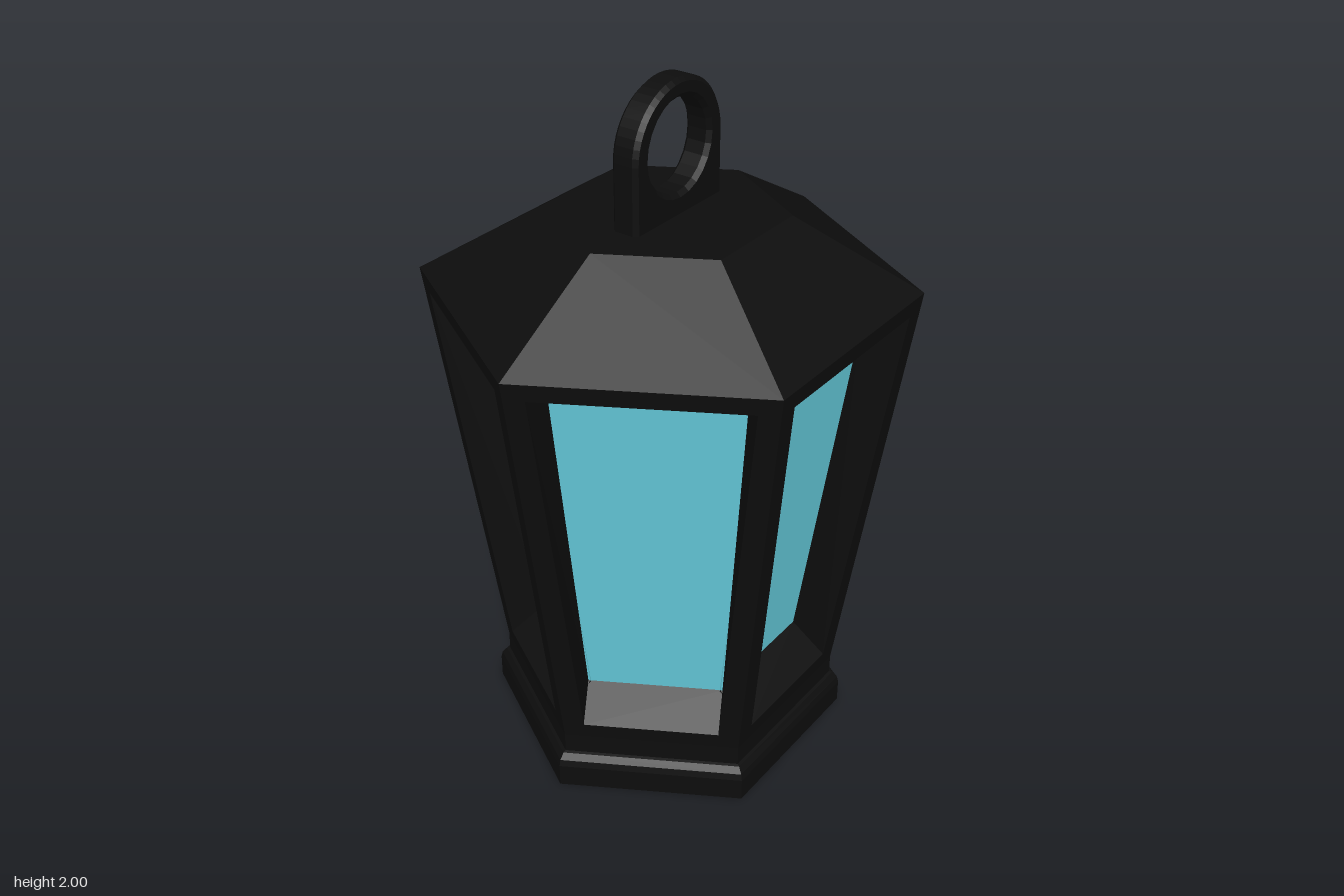
import * as THREE from 'three';

const black = new THREE.MeshStandardMaterial({ color: 0x0d0d0d, flatShading: true });
const glass = new THREE.MeshStandardMaterial({ color: 0x66ccdd, flatShading: true });

const SIDES = 6;
const APOTHEM = Math.cos(Math.PI / SIDES);
const LOW = 0.17, EAVE = 1.43;
// Corner radius of the tapered body at height y
const bodyRadius = (y) => 0.5 + ((y - LOW) / (EAVE - LOW)) * 0.18;

function addMesh(parent, name, geometry, material) {
  const mesh = new THREE.Mesh(geometry, material);
  mesh.name = name;
  parent.add(mesh);
  return mesh;
}

// Six-sided solid turned from a [radius, y] profile
function hexLathe(profile) {
  return new THREE.LatheGeometry(profile.map(([r, y]) => new THREE.Vector2(r, y)), SIDES);
}

// Four corners of a trapezoid, anticlockwise from outside, on the body side facing +z
function trapezoid(y0, half0, y1, half1, depth = 0) {
  const z0 = bodyRadius(y0) * APOTHEM - depth;
  const z1 = bodyRadius(y1) * APOTHEM - depth;
  return [[-half0, y0, z0], [half0, y0, z0], [half1, y1, z1], [-half1, y1, z1]];
}

function quads(list) {
  const positions = [];
  for (const [a, b, c, d] of list) positions.push(...a, ...b, ...c, ...a, ...c, ...d);
  const geometry = new THREE.BufferGeometry();
  geometry.setAttribute('position', new THREE.Float32BufferAttribute(positions, 3));
  geometry.computeVertexNormals();
  return geometry;
}

// Strip of four quads joining an outer loop to an inner loop
const strip = (outer, inner) => outer.map((p, i) => {
  const j = (i + 1) % 4;
  return [p, outer[j], inner[j], inner[i]];
});

export function createModel() {
  const lantern = new THREE.Group();
  lantern.name = 'lantern';

  // Foot with a rounded rim, rising to the lower edge of the body
  addMesh(lantern, 'base', hexLathe([
    [0, 0], [0.53, 0], [0.53, 0.07], [0.525, 0.09], [0.51, 0.108], [0.5, 0.11], [0.5, LOW],
  ]), black);

  // Sloping roof with a flat top
  addMesh(lantern, 'roof', hexLathe([[0.68, EAVE], [0.325, 1.635], [0, 1.635]]), black);

  // Window sides: outer frame, splayed recess and pane
  const edge = trapezoid(LOW, bodyRadius(LOW) / 2, EAVE, bodyRadius(EAVE) / 2);
  const opening = trapezoid(0.22, 0.193, 1.38, 0.28);
  const pane = trapezoid(0.29, 0.195, 1.31, 0.25, 0.12);
  const frameGeometry = quads([...strip(edge, opening), ...strip(opening, pane)]);
  const paneGeometry = quads([pane]);
  for (let i = 0; i < SIDES; i++) {
    const side = new THREE.Group();
    side.name = `windowSide${i + 1}`;
    side.rotation.y = ((i + 0.5) / SIDES) * Math.PI * 2;
    addMesh(side, 'windowFrame', frameGeometry, black);
    addMesh(side, 'windowPane', paneGeometry, glass);
    lantern.add(side);
  }

  // Hanging loop: a round-topped plate with a round hole and bevelled edges
  const bevel = 0.012, centre = 1.82, outerRadius = 0.18 - bevel;
  const plate = new THREE.Shape();
  plate.moveTo(-outerRadius - 0.008, 1.62);
  plate.lineTo(outerRadius + 0.008, 1.62);
  plate.absellipse(0, centre, outerRadius + 0.008, outerRadius, 0, Math.PI, false);
  plate.closePath();
  const hole = new THREE.Path();
  hole.absarc(0, centre, 0.128 + bevel, 0, Math.PI * 2, true);
  plate.holes.push(hole);
  const loopGeometry = new THREE.ExtrudeGeometry(plate, {
    depth: 0.08 - 2 * bevel, bevelEnabled: true, bevelThickness: bevel,
    bevelSize: bevel, bevelSegments: 1, curveSegments: 12,
  });
  loopGeometry.translate(0, 0, -0.04 + bevel);
  loopGeometry.rotateY(Math.PI / 2);
  addMesh(lantern, 'hangingLoop', loopGeometry, black);

  return lantern;
}
